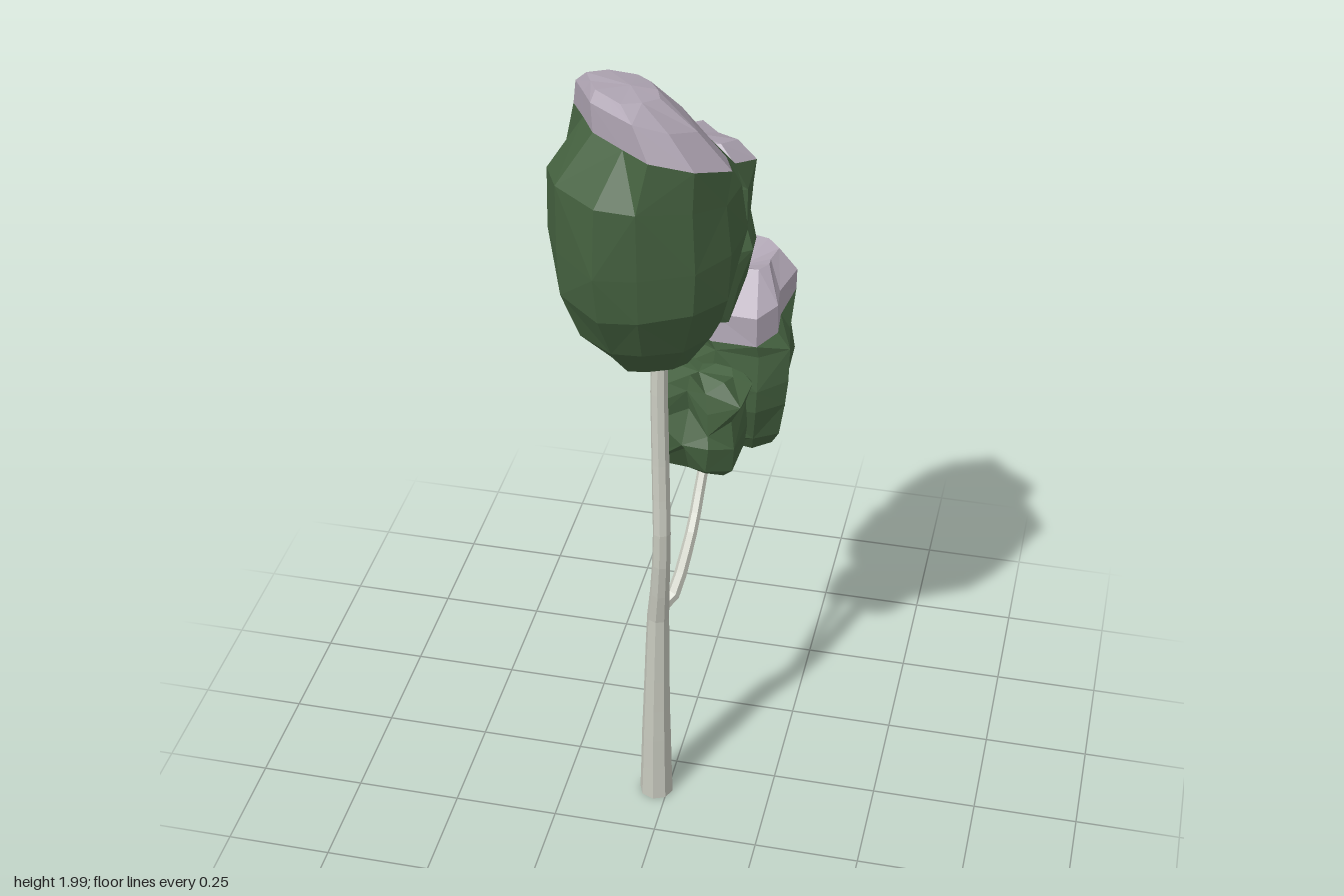
import * as THREE from 'three';

const leafGreen = new THREE.MeshStandardMaterial({ color: 0x456240 });
leafGreen.name = 'leaf green';
const snowMauve = new THREE.MeshStandardMaterial({ color: 0xafa5b3 });
snowMauve.name = 'snow mauve';
const barkGrey = new THREE.MeshStandardMaterial({ color: 0xc6c8bd });
barkGrey.name = 'bark grey';

// small seeded random in -1..1
function seeded(seed) {
  let s = seed;
  return () => {
    s = (s * 16807) % 2147483647;
    return (s / 2147483647) * 2 - 1;
  };
}

// faceted mesh from triangles given as Vector3 triples
function facetMesh(points, material, name) {
  const g = new THREE.BufferGeometry().setFromPoints(points);
  g.computeVertexNormals();
  const m = new THREE.Mesh(g, material);
  m.name = name;
  return m;
}

// Clump: a plan outline [x, z] swept through rings [y, scale, dx, dz, slopeX, slopeZ].
// Rings from snowFrom upwards follow snowOutline and their faces are snow.
// top is the peak point plus the height limit.
function clump(name, { centre: [cx, cz], outline, snowOutline = outline, rings, bottom, top, snowFrom, jitter, seed }) {
  const rnd = seeded(seed);
  const n = outline.length;
  const loops = rings.map(([y, s, dx = 0, dz = 0, sx = 0, sz = 0], i) => {
    const isSnow = i >= snowFrom;
    const rough = isSnow ? jitter * 0.5 : jitter;
    return (isSnow ? snowOutline : outline).map(([x, z]) => {
      const k = s * (1 + rnd() * rough);
      const px = (x - cx) * k, pz = (z - cz) * k;
      const wobble = i === snowFrom ? 0 : rnd() * rough * 0.2;
      const py = y + sx * px + sz * pz + wobble;
      return new THREE.Vector3(cx + px + dx, Math.min(py, top[3]), cz + pz + dz);
    });
  });
  const leaves = [], snow = [];
  const low = new THREE.Vector3(...bottom);
  const high = new THREE.Vector3(top[0], top[1], top[2]);
  for (let j = 0; j < n; j++) {
    const k = (j + 1) % n;
    leaves.push(low, loops[0][j], loops[0][k]);
    for (let i = 0; i < loops.length - 1; i++) {
      const a = loops[i][j], b = loops[i][k], c = loops[i + 1][k], d = loops[i + 1][j];
      const out = i >= snowFrom ? snow : leaves;
      // alternate the diagonal for irregular facets
      if ((i + j) % 2) out.push(a, d, c, a, c, b);
      else out.push(a, d, b, d, c, b);
    }
    const last = loops[loops.length - 1];
    (snowFrom < loops.length ? snow : leaves).push(last[j], high, last[k]);
  }
  const group = new THREE.Group();
  group.name = name;
  group.add(facetMesh(leaves, leafGreen, name + 'Leaves'));
  if (snow.length) group.add(facetMesh(snow, snowMauve, name + 'Snow'));
  return group;
}

// Limb: faceted tapering tube through points [x, y, z, radius]
function limb(name, pts, sides = 7) {
  const path = pts.map(p => new THREE.Vector3(p[0], p[1], p[2]));
  const curve = new THREE.CatmullRomCurve3(path, false, 'catmullrom', 0.25);
  const steps = (pts.length - 1) * 2;
  const tube = new THREE.TubeGeometry(curve, steps, 1, sides);
  const pos = tube.attributes.position;
  const v = new THREE.Vector3();
  for (let i = 0; i <= steps; i++) {
    const t = curve.getUtoTmapping(i / steps) * (pts.length - 1);
    const a = Math.min(Math.floor(t), pts.length - 2);
    const r = THREE.MathUtils.lerp(pts[a][3], pts[a + 1][3], t - a);
    const c = curve.getPointAt(i / steps);
    for (let j = 0; j <= sides; j++) {
      const q = i * (sides + 1) + j;
      v.fromBufferAttribute(pos, q).sub(c).multiplyScalar(r).add(c);
      pos.setXYZ(q, v.x, Math.max(v.y, 0), v.z);
    }
  }
  const g = tube.toNonIndexed();
  g.computeVertexNormals();
  const m = new THREE.Mesh(g, barkGrey);
  m.name = name;
  return m;
}

export function createModel() {
  const tree = new THREE.Group();
  tree.name = 'tree';

  // trunk, fork and side branch
  tree.add(limb('trunk', [
    [-0.028, 0, 0.105, 0.041], [-0.027, 0.25, 0.104, 0.034], [-0.022, 0.56, 0.102, 0.026],
    [-0.012, 0.66, 0.122, 0.022], [-0.006, 0.8, 0.13, 0.021], [-0.012, 0.95, 0.112, 0.021],
    [-0.02, 1.2, 0.092, 0.02], [-0.02, 1.27, 0.086, 0.019],
  ], 8));
  const base = new THREE.Mesh(new THREE.CircleGeometry(0.04, 8), barkGrey);
  base.name = 'trunkBase';
  base.rotation.x = Math.PI / 2;
  base.position.set(-0.028, 0.001, 0.105);
  tree.add(base);
  tree.add(limb('frontFork', [[-0.02, 1.25, 0.088, 0.016], [-0.022, 1.29, 0.105, 0.014], [-0.025, 1.38, 0.13, 0.012]], 6));
  tree.add(limb('backFork', [[-0.02, 1.24, 0.088, 0.014], [-0.01, 1.29, 0.055, 0.012], [0, 1.38, 0.01, 0.01]], 6));
  tree.add(limb('sideBranch', [
    [-0.022, 0.57, 0.105, 0.018], [0.012, 0.605, 0.07, 0.016], [0.024, 0.695, -0.065, 0.014],
    [0.03, 0.8, -0.148, 0.013], [0.045, 0.86, -0.165, 0.012], [0.055, 0.95, -0.18, 0.01],
  ], 6));
  tree.add(limb('sideTwig', [[0.034, 0.81, -0.15, 0.011], [0.04, 0.86, -0.14, 0.01], [0.05, 0.94, -0.11, 0.008]], 5));

  // tall front clump, its snow leaning to a narrow crest
  tree.add(clump('tallClump', {
    centre: [-0.03, 0.19], seed: 11, jitter: 0.035, snowFrom: 5,
    outline: [[0.175, 0.13], [0.17, 0.24], [0.11, 0.32], [0, 0.375], [-0.09, 0.38], [-0.19, 0.3],
      [-0.235, 0.2], [-0.23, 0.1], [-0.1, 0.02], [0.02, -0.01], [0.14, 0.015]],
    snowOutline: [[0.14, 0.16], [0.17, 0.24], [0.11, 0.325], [0.02, 0.355], [-0.04, 0.315], [-0.115, 0.265],
      [-0.155, 0.18], [-0.195, 0.11], [-0.11, 0.04], [0.02, 0.02], [0.09, 0.07]],
    rings: [[1.32, 0.46, 0, -0.05], [1.41, 0.76, 0, -0.025], [1.53, 0.93], [1.64, 1],
      [1.775, 0.94, 0, 0.01, -0.08, 0.12], [1.872, 1, 0, 0, -0.22, 0.25],
      [1.948, 0.76, -0.025, 0.015, -0.2, 0.22], [1.987, 0.46, -0.045, 0.015, -0.08, 0.08]],
    bottom: [-0.05, 1.29, 0.14], top: [-0.05, 1.99, 0.2, 2],
  }));

  // middle clump behind it
  tree.add(clump('middleClump', {
    centre: [0, -0.05], seed: 29, jitter: 0.06, snowFrom: 5,
    outline: [[0.175, -0.05], [0.165, 0.015], [0.08, 0.05], [-0.06, 0.07], [-0.15, 0.05], [-0.18, -0.02],
      [-0.14, -0.1], [-0.06, -0.18], [0.03, -0.185], [0.12, -0.14]],
    snowOutline: [[0.165, -0.04], [0.13, 0.03], [0.05, 0.035], [-0.06, 0.045], [-0.13, 0.035], [-0.11, -0.03],
      [-0.07, -0.1], [-0.01, -0.165], [0.025, -0.188], [0.09, -0.115]],
    rings: [[1.32, 0.66, 0, -0.01], [1.41, 0.88], [1.52, 0.99], [1.585, 0.9], [1.655, 0.96, 0, 0, 0, 0.1],
      [1.715, 1, 0, 0, 0, 0.32], [1.755, 0.68, 0.01, 0, 0, 0.2]],
    bottom: [0, 1.3, -0.05], top: [0.02, 1.77, -0.03, 1.785],
  }));

  // low back clump, dished on top
  tree.add(clump('lowClump', {
    centre: [0.075, -0.225], seed: 47, jitter: 0.06, snowFrom: 5,
    outline: [[0.22, -0.21], [0.235, -0.13], [0.17, -0.08], [0.06, -0.07], [-0.03, -0.12], [-0.085, -0.22],
      [-0.05, -0.31], [0.01, -0.345], [0.1, -0.375], [0.165, -0.36], [0.22, -0.29]],
    snowOutline: [[0.2, -0.2], [0.21, -0.14], [0.17, -0.082], [0.06, -0.085], [-0.02, -0.135], [-0.055, -0.19],
      [-0.055, -0.245], [0.015, -0.285], [0.08, -0.365], [0.165, -0.36], [0.225, -0.29]],
    rings: [[0.895, 0.6, 0.02, 0], [0.93, 0.76, 0.01, 0], [1.03, 0.92], [1.1, 0.98], [1.185, 0.88, 0.01, 0],
      [1.245, 0.97, 0, 0, -0.05, -0.24], [1.295, 0.94, 0, 0, 0.05, -0.1], [1.352, 0.5, 0.025, -0.035, 0, -0.06]],
    bottom: [0.08, 0.875, -0.2], top: [0.095, 1.325, -0.24, 1.37],
  }));

  // small lumpy clump beside the trunk
  tree.add(clump('smallClump', {
    centre: [0.045, -0.07], seed: 83, jitter: 0.16, snowFrom: 9,
    outline: [[0.15, -0.07], [0.14, 0], [0.08, 0.03], [0.02, 0.01], [-0.05, 0.02], [-0.06, -0.06],
      [-0.04, -0.13], [0.04, -0.16], [0.12, -0.14]],
    rings: [[0.89, 0.62, -0.01, -0.035], [0.94, 0.92, -0.01, -0.015], [0.99, 1], [1.05, 0.87], [1.1, 0.95], [1.145, 0.72, 0, 0.01]],
    bottom: [0.04, 0.86, -0.12], top: [0.04, 1.15, -0.05, 1.175],
  }));

  return tree;
}
